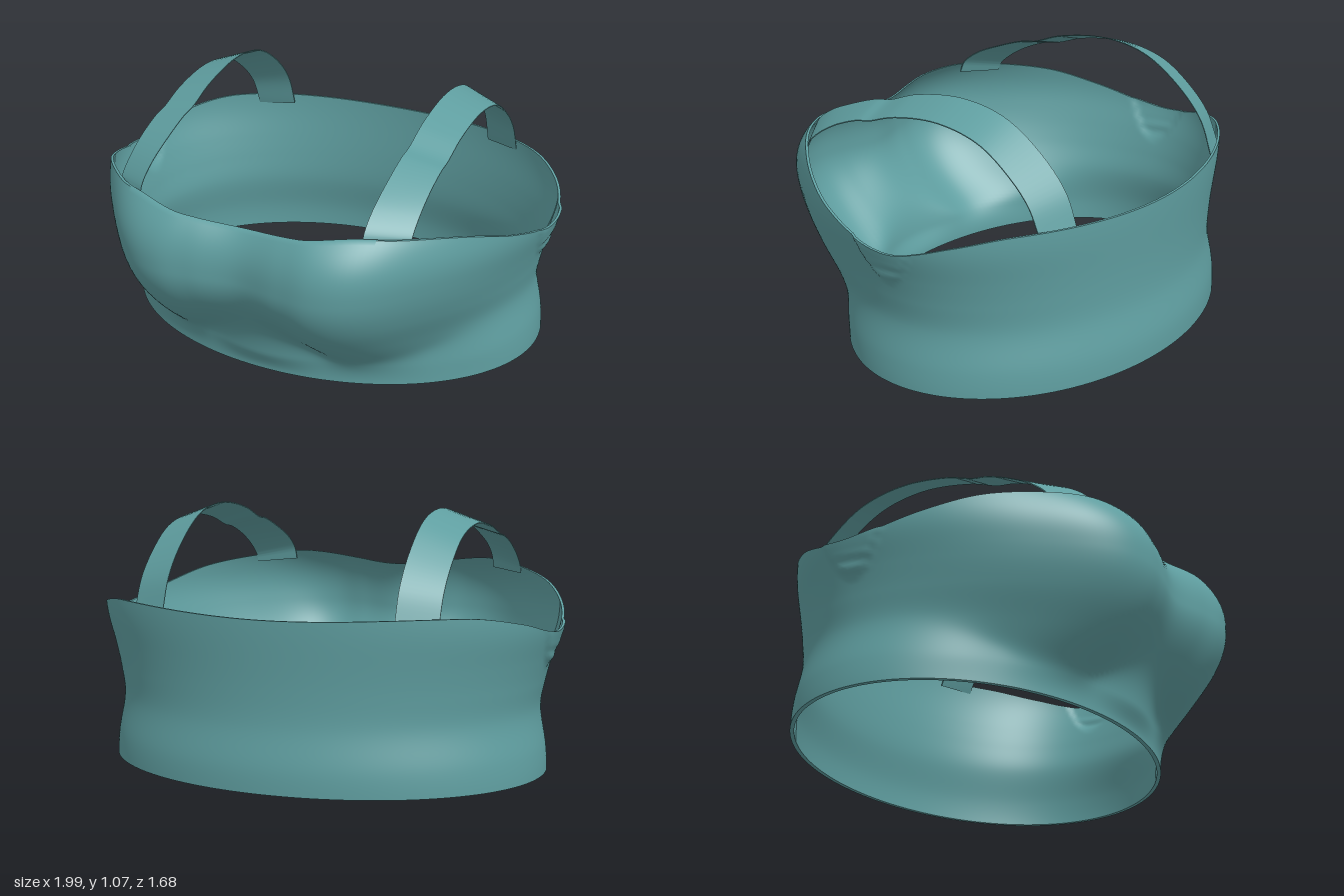
import * as THREE from 'three';
import { toCreasedNormals } from 'three/addons/utils/BufferGeometryUtils.js';

const { lerp, smoothstep, degToRad } = THREE.MathUtils;
const CENTRE_Z = -0.145;

// Smooth curve through [key, value] pairs, clamped at both ends
function curve(pts) {
  const n = pts.length - 1;
  const slope = pts.map((p, i) => {
    const a = pts[Math.max(i - 1, 0)], b = pts[Math.min(i + 1, n)];
    return i === 0 || i === n ? 0 : (b[1] - a[1]) / (b[0] - a[0]);
  });
  return (x) => {
    if (x <= pts[0][0]) return pts[0][1];
    if (x >= pts[n][0]) return pts[n][1];
    let i = 0;
    while (x > pts[i + 1][0]) i++;
    const h = pts[i + 1][0] - pts[i][0], t = (x - pts[i][0]) / h;
    const t2 = t * t, t3 = t2 * t;
    return (2 * t3 - 3 * t2 + 1) * pts[i][1] + (t3 - 2 * t2 + t) * h * slope[i]
      + (3 * t2 - 2 * t3) * pts[i + 1][1] + (t3 - t2) * h * slope[i + 1];
  };
}

// Half width and back depth by height, top edge by angle (90 = front)
const halfWidth = curve([[0, 0.94], [0.1, 0.933], [0.26, 0.907], [0.38, 0.925], [0.48, 0.95], [0.6, 0.986], [0.68, 0.995]]);
const backDepth = curve([[0, 0.695], [0.1, 0.69], [0.26, 0.66], [0.4, 0.655], [0.68, 0.665]]);
const topEdge = curve([[-90, 0.675], [-42, 0.69], [-24, 0.655], [-10, 0.61], [0, 0.597], [9, 0.615],
  [21, 0.665], [35, 0.727], [53, 0.767], [63, 0.777], [77, 0.75], [90, 0.73]]);
// Fullness of the front by sideways position (0 = middle, 1 = side)
const fullness = curve([[0, 0.235], [0.2, 0.292], [0.34, 0.35], [0.47, 0.38], [0.58, 0.372], [0.73, 0.315], [0.9, 0.265], [1, 0.22]]);

// Height of the crease under the cups
function creaseHeight(s) {
  return s < 0.42
    ? 0.11 + 0.065 * (1 + Math.cos(Math.PI * s / 0.42))
    : 0.11 + 0.16 * ((s - 0.42) / 0.53) ** 1.6;
}

// The crease softens towards the middle and the sides
function frontDepth(s, y) {
  const middle = 1 - smoothstep(s, 0, 0.3);
  const soft = 0.1 + 0.3 * middle + 0.2 * smoothstep(s, 0.7, 1);
  const u = creaseHeight(s), q = (y - u) / (0.53 - u);
  const rise = Math.min((q + Math.hypot(q, soft)) / 2, 1);
  let g = Math.sin(rise * Math.PI / 2) ** 0.87 * smoothstep(y, 0, 0.1);
  if (y > 0.53) g -= (0.32 + 0.18 * middle) * ((y - 0.53) / 0.25) ** 2.6;
  return 0.695 + fullness(s) * g;
}

// Point on the garment's outside
function bodicePoint(deg, t) {
  const a = degToRad(deg), c = Math.cos(a), sn = Math.sin(a);
  const folded = deg > 90 ? 180 - deg : deg < -90 ? -180 - deg : deg;
  const y = t * topEdge(folded);
  const z = CENTRE_Z + sn * (sn > 0 ? frontDepth(Math.abs(c), y) : backDepth(y));
  let x = c * halfWidth(y);
  // gathered fold under each arm
  const lower = 0.44 + 0.17 * ((z + 0.13) / 0.14) ** 2;
  const fold = smoothstep(y, lower - 0.01, lower + 0.04);
  const ripple = 0.003 * Math.sin(y * 110 + z * 12) * (1 - smoothstep(y, 0.5, 0.57));
  x += Math.sign(c) * fold * (0.012 * (1 - smoothstep(y, 0.6, 0.64)) + ripple);
  return new THREE.Vector3(x, y, z);
}

// Surface over a grid of points; columns j always close
function gridGeometry(ni, nj, point, closeI, flip = false) {
  const pos = [], index = [];
  for (let i = 0; i < ni; i++) for (let j = 0; j < nj; j++) pos.push(...point(i, j).toArray());
  for (let i = 0; i < (closeI ? ni : ni - 1); i++) {
    for (let j = 0; j < nj; j++) {
      const i2 = (i + 1) % ni, j2 = (j + 1) % nj;
      const a = i * nj + j, b = i * nj + j2, c = i2 * nj + j2, d = i2 * nj + j;
      if (flip) index.push(a, c, b, a, d, c);
      else index.push(a, b, c, a, c, d);
    }
  }
  const geo = new THREE.BufferGeometry();
  geo.setAttribute('position', new THREE.Float32BufferAttribute(pos, 3));
  geo.setIndex(index);
  return toCreasedNormals(geo, 0.9);
}

// Shell: each column runs up the outside and down the inside
function bodiceGeometry() {
  const around = 240, rows = 56;
  return gridGeometry(around, rows * 2, (i, j) => {
    const inside = j >= rows;
    const t = (inside ? 2 * rows - 1 - j : j) / (rows - 1);
    const p = bodicePoint((i / around) * 360 - 180, t);
    if (inside) {
      const d = new THREE.Vector3(p.x, 0, p.z - CENTRE_Z).normalize();
      p.addScaledVector(d, -lerp(0.018, 0.011, t));
    }
    return p;
  }, true);
}

// Strap edges as [z, y], front to back; the outer edge lies lower
const edge = (pts) => new THREE.CatmullRomCurve3(pts.map(([z, y]) => new THREE.Vector3(0, y, z)));
const innerEdge = edge([[0.68, 0.74], [0.655, 0.795], [0.58, 0.855], [0.45, 0.915], [0.31, 0.965], [0.24, 0.978],
  [0.1, 1.03], [-0.14, 1.068], [-0.35, 1.035], [-0.52, 0.93], [-0.64, 0.8], [-0.7, 0.65]]);
const outerEdge = edge([[0.575, 0.73], [0.56, 0.765], [0.5, 0.82], [0.4, 0.88], [0.28, 0.927], [0.22, 0.938],
  [0.08, 0.985], [-0.14, 1.012], [-0.34, 0.975], [-0.48, 0.885], [-0.58, 0.78], [-0.64, 0.65]]);

function strapGeometry(side) {
  const steps = 80, thickness = 0.004;
  return gridGeometry(steps + 1, 4, (i, j) => {
    const outer = j === 1 || j === 2;
    const path = outer ? outerEdge : innerEdge;
    const p = path.getPoint(i / steps), tan = path.getTangent(i / steps);
    const normal = new THREE.Vector3(0, -tan.z, tan.y);
    p.addScaledVector(normal, j < 2 ? 0 : -thickness);
    p.x = side * (outer ? 0.647 : 0.49);
    return p;
  }, false, side < 0);
}

export function createModel() {
  const model = new THREE.Group();
  model.name = 'strappedTop';
  const fabric = new THREE.MeshStandardMaterial({ color: 0x5f9ea0, side: THREE.DoubleSide });
  const add = (geometry, name) => {
    const mesh = new THREE.Mesh(geometry, fabric);
    mesh.name = name;
    model.add(mesh);
  };
  add(bodiceGeometry(), 'bodice');
  add(strapGeometry(1), 'leftStrap');
  add(strapGeometry(-1), 'rightStrap');
  return model;
}
